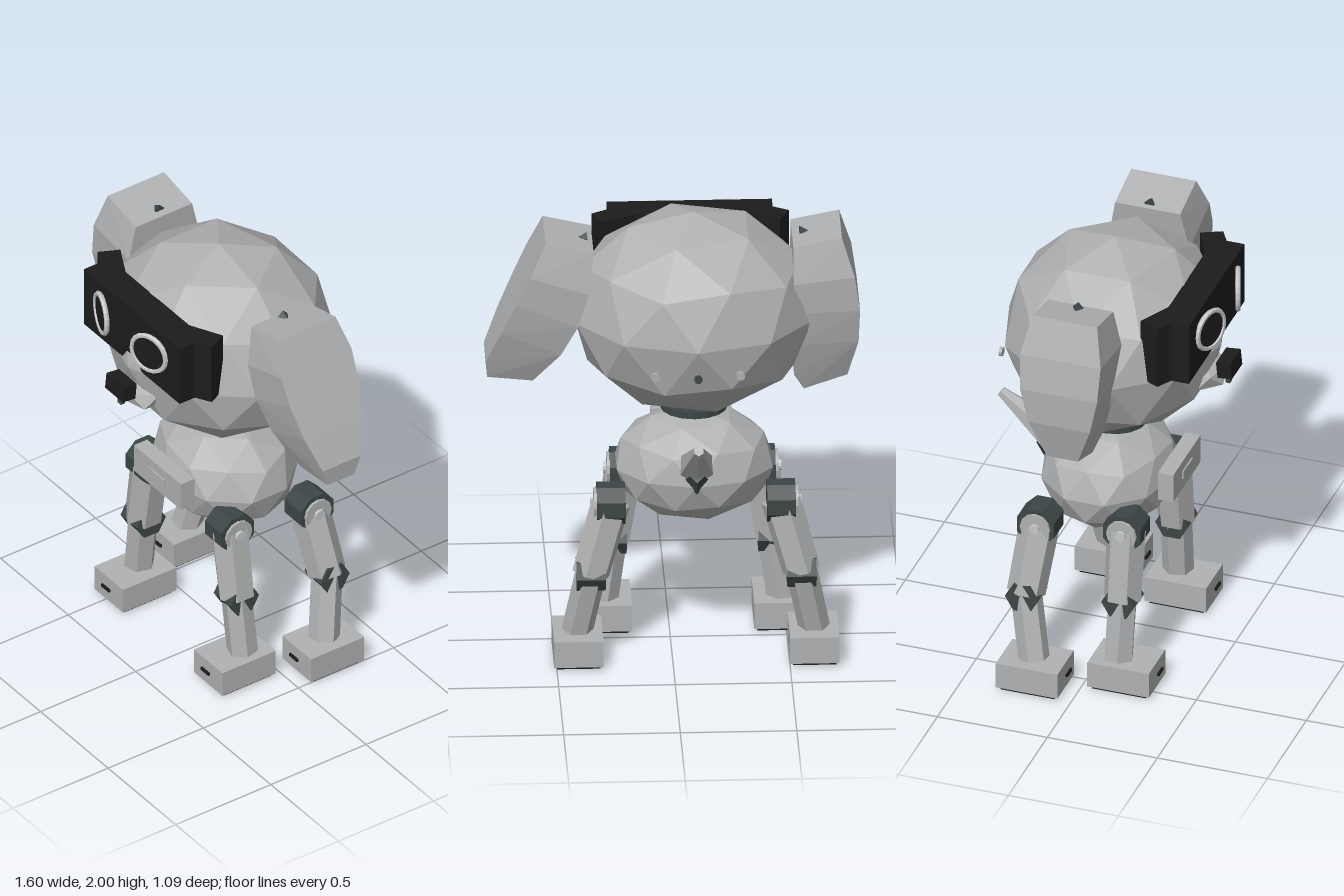
import * as THREE from 'three';
import { ConvexGeometry } from 'three/addons/geometries/ConvexGeometry.js';

const V = (x, y, z) => new THREE.Vector3(x, y, z);
const AXIS = -0.1; // plane of symmetry of head, body and legs

export function createModel() {
  const root = new THREE.Group();
  const mat = (name, color) => {
    const m = new THREE.MeshStandardMaterial({ color });
    m.name = name;
    return m;
  };
  const shell = mat('shell grey', 0xb0b1b2);
  const black = mat('visor black', 0x1c1c1c);
  const joint = mat('joint slate', 0x3c4646);
  const rim = mat('rim silver', 0xc4c6c8);

  // Faceted normals for every part
  const add = (name, geo, material, pos = [0, 0, 0], rot = [0, 0, 0], parent = root) => {
    const g = geo.index ? geo.toNonIndexed() : geo;
    g.computeVertexNormals();
    const m = new THREE.Mesh(g, material);
    m.name = name;
    m.position.set(...pos);
    m.rotation.set(...rot);
    parent.add(m);
    return m;
  };
  const box = (w, h, d) => new THREE.BoxGeometry(w, h, d);
  const cyl = (r1, r2, h, n = 8) => new THREE.CylinderGeometry(r1, r2, h, n);
  // Faceted ball with a vertex at each pole
  const ball = (rx, ry, rz, detail = 1) =>
    new THREE.IcosahedronGeometry(1, detail).rotateZ(-Math.atan2(0.5257, 0.8507)).scale(rx, ry, rz);
  // Prism running between two points
  const strut = (name, a, b, ra, rb, n, material, parent) => {
    const dir = b.clone().sub(a);
    const m = add(name, cyl(rb, ra, dir.length(), n), material, [0, 0, 0], [0, 0, 0], parent);
    m.position.copy(a).add(b).multiplyScalar(0.5);
    m.quaternion.setFromUnitVectors(V(0, 1, 0), dir.normalize());
    return m;
  };

  // Head, neck and body
  add('head', ball(0.537, 0.45, 0.482), shell, [AXIS, 1.55, -0.01]);
  add('neck', cyl(0.145, 0.145, 0.03, 16), joint, [AXIS, 1.105, -0.01]);
  add('body', ball(0.352, 0.25, 0.295), shell, [AXIS, 0.845, -0.035]);

  // Visor: a plan outline with swept-back ends, raised to full height
  const half = [[0.355, 0.45], [0.355, 0.37], [0.423, 0.33], [0.38, 0.24], [0.235, 0.315]];
  const plan = [...half, ...half.map(([x, z]) => [-x, z]).reverse()];
  const visor = new THREE.Shape(plan.map(([x, z]) => new THREE.Vector2(x, -z)));
  add('visor', new THREE.ExtrudeGeometry(visor, { depth: 0.29, bevelEnabled: false }).rotateX(-Math.PI / 2),
    black, [AXIS, 1.557, 0]);

  // Eyes angled slightly outwards
  for (const s of [-1, 1]) {
    const eye = new THREE.Group();
    eye.name = 'eye';
    eye.position.set(AXIS + s * 0.176, 1.735, 0.485);
    eye.rotation.y = s * 0.34;
    root.add(eye);
    add('eyeRim', new THREE.TorusGeometry(0.088, 0.012, 6, 20), rim, [0, 0, 0], [0, 0, 0], eye);
    add('eyeLens', cyl(0.084, 0.084, 0.016, 20), black, [0, 0, -0.004], [Math.PI / 2, 0, 0], eye);
  }

  // Muzzle, nose and mouth
  add('muzzle', ball(0.145, 0.07, 0.11, 0), shell, [AXIS, 1.41, 0.4]);
  add('nose', box(0.132, 0.075, 0.066), black, [AXIS, 1.465, 0.507], [-0.1, 0, 0]);
  add('mouth', box(0.024, 0.024, 0.02), joint, [AXIS, 1.385, 0.505]);

  // Ears: one solid, straight on one side and curved on the other
  const straight = [[0, 0, 0.148], [0, -0.16, 0.185], [0, -0.3, 0.178], [0, -0.46, 0.15], [-0.005, -0.62, 0.1], [-0.048, -0.698, 0.07]];
  const curved = [[-0.208, 0.042, 0.148], [-0.262, -0.13, 0.183], [-0.285, -0.29, 0.175], [-0.28, -0.45, 0.14], [-0.235, -0.635, 0.07]];
  const earPoints = [...straight, ...curved].flatMap(([x, y, w]) => [V(x, y, w), V(x, y, -w)]);
  add('rightEar', new ConvexGeometry(earPoints), shell, [-0.521, 1.894, -0.018]);
  add('leftEar', new ConvexGeometry(earPoints), shell, [0.542, 1.931, -0.018], [0, 0, 0.43]);
  add('rightEarPin', cyl(0, 0.025, 0.045, 4), joint, [-0.575, 1.905, -0.018], [0, 0, Math.PI / 2]);
  add('leftEarPin', cyl(0, 0.025, 0.045, 4), joint, [0.38, 1.893, -0.018], [0, 0, -Math.PI / 2]);

  // Screws on the back of the head
  for (const s of [-1, 1])
    add('headScrew', cyl(0.02, 0.02, 0.014, 10), shell, [AXIS + s * 0.182, 1.43, -0.463], [Math.PI / 2, 0, 0]);
  add('headSocket', cyl(0.018, 0.018, 0.014, 10), joint, [AXIS, 1.42, -0.472], [Math.PI / 2, 0, 0]);

  // Chest panel
  add('chestPanel', box(0.348, 0.135, 0.07), shell, [AXIS, 0.894, 0.28]);
  add('chestPlate', box(0.122, 0.037, 0.009), shell, [AXIS, 0.897, 0.317]);

  // Tail
  strut('tail', V(AXIS, 0.915, -0.26), V(AXIS, 1.11, -0.53), 0.085, 0.023, 6, shell, root);
  add('tailMount', cyl(0.03, 0.06, 0.08, 4), joint, [AXIS, 0.885, -0.32], [-0.9, 0, 0]);

  // Legs: joint points are given outwards from the symmetry plane
  const legs = [
    { name: 'front', hip: [0.294, 0.735, 0.145], knee: [0.345, 0.41, 0.145], ankle: [0.383, 0.13, 0.14], foot: [0.368, 0.17] },
    { name: 'back', hip: [0.365, 0.735, -0.222], knee: [0.452, 0.42, -0.255], ankle: [0.508, 0.13, -0.2], foot: [0.506, -0.197] },
  ];
  for (const s of [-1, 1]) for (const leg of legs) {
    const g = new THREE.Group();
    g.name = leg.name + (s > 0 ? 'LeftLeg' : 'RightLeg');
    root.add(g);
    const at = ([x, y, z]) => V(AXIS + s * x, y, z);
    const hip = at(leg.hip), knee = at(leg.knee), ankle = at(leg.ankle);
    const side = [0, 0, Math.PI / 2];
    add('hipJoint', cyl(0.092, 0.092, 0.122, 8).rotateY(Math.PI / 8), joint, hip.toArray(), side, g);
    add('hipCap', cyl(0.068, 0.068, 0.015, 12), shell, [hip.x + s * 0.066, hip.y, hip.z], side, g);
    add('hipBolt', cyl(0.024, 0.024, 0.02, 10), rim, [hip.x + s * 0.078, hip.y, hip.z], side, g);
    add('kneeJoint', cyl(0.075, 0.075, 0.125, 6), joint, knee.toArray(), side, g);
    strut('upperLeg', hip, knee, 0.088, 0.084, 6, shell, g);
    strut('lowerLeg', knee, ankle, 0.068, 0.068, 6, shell, g);
    const [fx, fz] = leg.foot;
    const x = AXIS + s * fx;
    add('foot', box(0.212, 0.12, 0.28), shell, [x, 0.074, fz], [0, 0, 0], g);
    add('sole', box(0.185, 0.02, 0.245), black, [x, 0.01, fz], [0, 0, 0], g);
    add('toeMark', box(0.058, 0.013, 0.009), black, [x, 0.088, fz + 0.155], [0, 0, 0], g);
  }
  return root;
}
